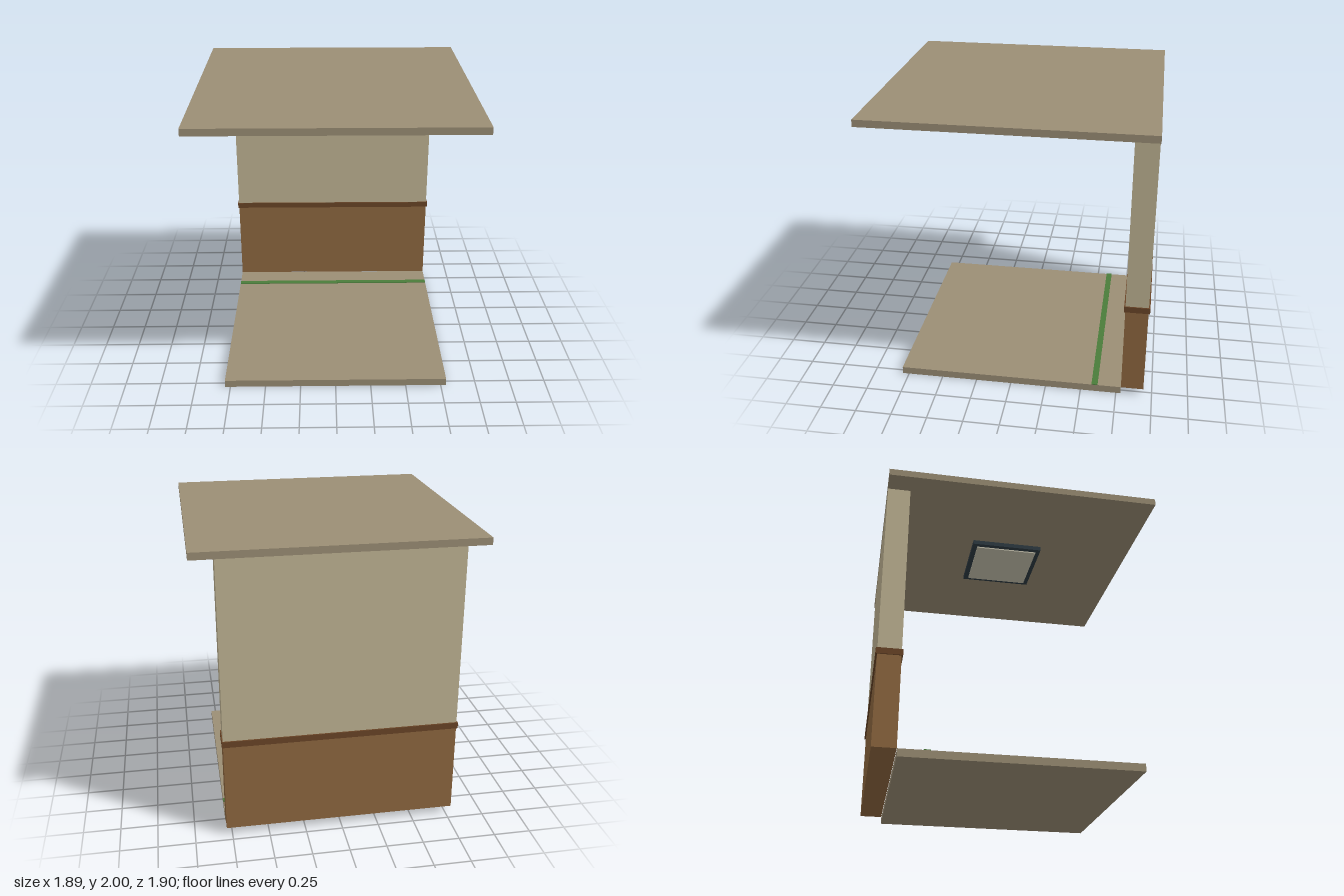
import * as THREE from 'three';

const material = (name, color) => {
  const m = new THREE.MeshStandardMaterial({ color });
  m.name = name;
  return m;
};

export function createModel() {
  const group = new THREE.Group();
  const stone = material('stone', 0x9b8e75);
  const plaster = material('plaster', 0xc0b494);
  const wood = material('wood', 0x8f6840);
  const darkWood = material('dark wood', 0x6a4527);
  const metal = material('dark metal', 0x2f3b43);
  const glow = material('lamp panel', 0xc8c4b0);
  const green = material('green', 0x4a7c3a);

  // Box given by its extents on each axis
  const box = (name, mat, [x0, x1], [y0, y1], [z0, z1]) => {
    const mesh = new THREE.Mesh(new THREE.BoxGeometry(x1 - x0, y1 - y0, z1 - z0), mat);
    mesh.position.set((x0 + x1) / 2, (y0 + y1) / 2, (z0 + z1) / 2);
    mesh.name = name;
    group.add(mesh);
  };

  // Slabs
  const width = [-0.787, 0.787];
  box('floor', stone, width, [0, 0.052], [-0.782, 0.795]);
  box('ceiling', stone, [-0.945, 0.945], [1.952, 2], [-0.942, 0.952]);

  // Thin line across the floor
  box('floorStripe', green, width, [0.052, 0.057], [-0.62, -0.577]);

  // Back wall: panelling, rail and plaster
  const wallDepth = [-0.94, -0.784];
  box('wainscot', wood, width, [0.052, 0.68], wallDepth);
  box('upperWall', plaster, width, [0.68, 1.952], wallDepth);
  box('chairRail', darkWood, [-0.795, 0.795], [0.676, 0.718], [-0.95, -0.775]);

  // Ceiling lamp: square housing with a shallow panel below
  box('lampHousing', metal, [-0.262, 0.262], [1.92, 1.952], [-0.256, 0.266]);
  box('lampPanel', glow, [-0.228, 0.228], [1.911, 1.92], [-0.222, 0.232]);

  return group;
}
